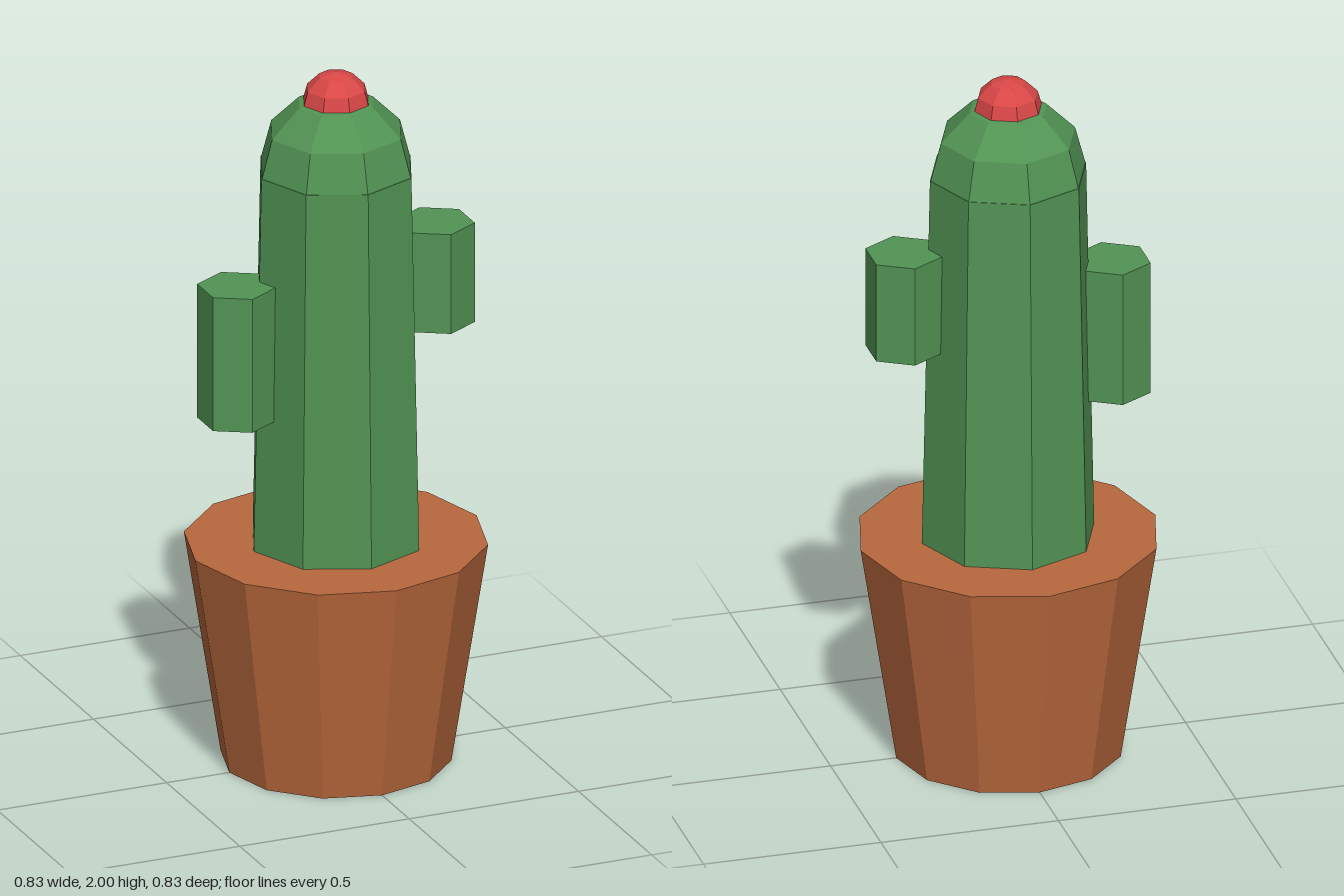
import * as THREE from 'three';

const flat = (name, color) => {
  const m = new THREE.MeshStandardMaterial({ color });
  m.name = name;
  m.flatShading = true;
  return m;
};

export function createModel() {
  const terracotta = flat('terracotta', 0xb8683d);
  const green = flat('cactus green', 0x529454);
  const red = flat('flower red', 0xd94747);

  const model = new THREE.Group();
  model.name = 'pottedCactus';

  const add = (name, geometry, material, x, y) => {
    const mesh = new THREE.Mesh(geometry, material);
    mesh.name = name;
    mesh.position.set(x, y, 0);
    model.add(mesh);
  };
  // Tapered prism standing between two heights
  const prism = (name, material, x, y0, y1, rBottom, rTop, sides) =>
    add(name, new THREE.CylinderGeometry(rTop, rBottom, y1 - y0, sides), material, x, (y0 + y1) / 2);
  // Eight-sided half sphere with three rings
  const dome = (name, material, y, r) =>
    add(name, new THREE.SphereGeometry(r, 8, 3, 0, Math.PI * 2, 0, Math.PI / 2), material, 0, y);

  prism('pot', terracotta, 0, 0, 0.635, 0.315, 0.415, 12);

  // Cactus stem with its rounded crown
  prism('stem', green, 0, 0.62, 1.72, 0.243, 0.22, 8);
  dome('crown', green, 1.72, 0.218);

  // Stubby side arms at different heights
  prism('leftArm', green, 0.293, 1.225, 1.515, 0.108, 0.108, 6);
  prism('rightArm', green, -0.293, 1.03, 1.42, 0.108, 0.108, 6);

  dome('flower', red, 1.903, 0.097);

  return model;
}
